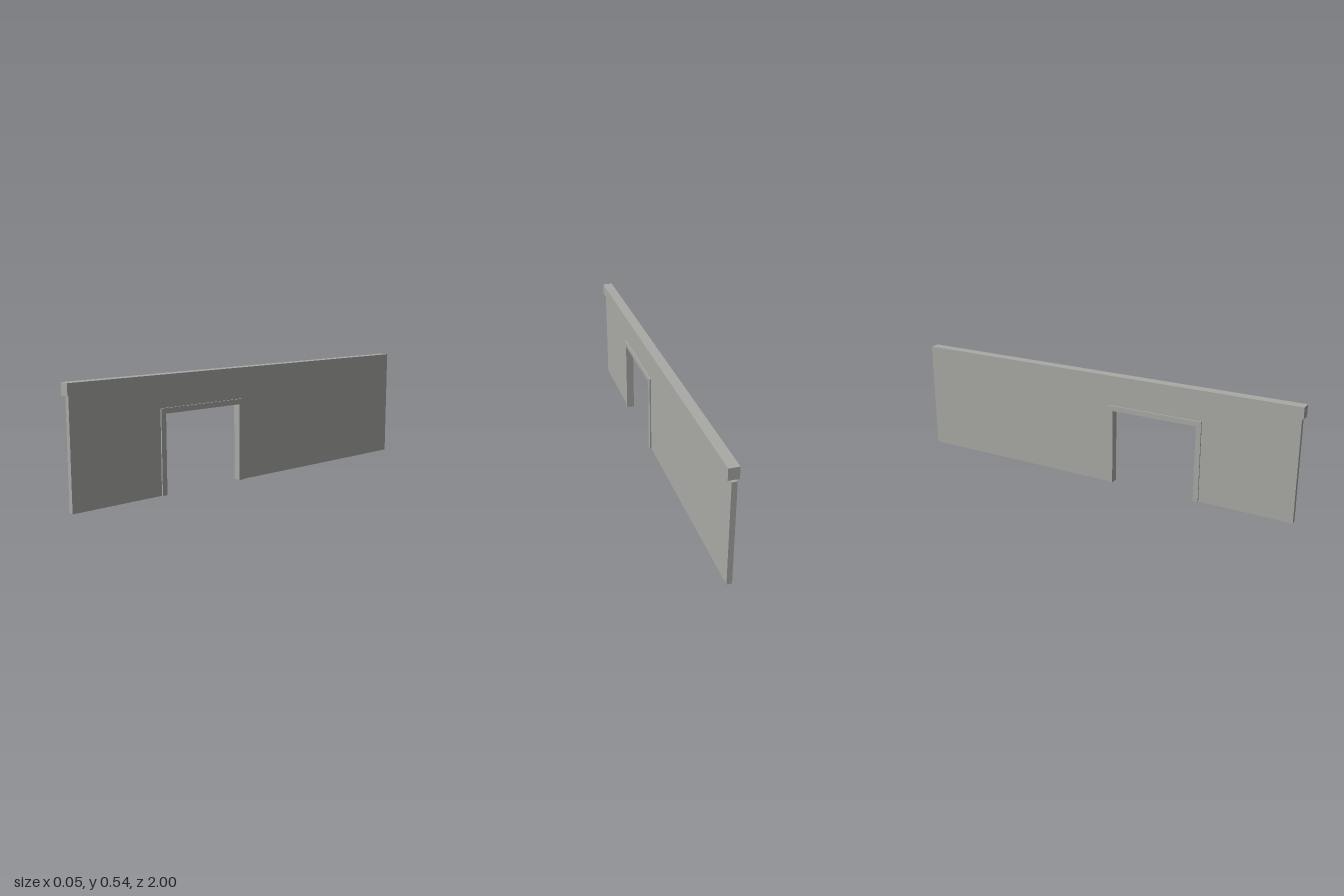
import * as THREE from 'three';

// Extrudes a side profile of [z, y] points from x0 to x1.
function sideExtrude(name, points, x0, x1, material) {
  const shape = new THREE.Shape(points.map(([z, y]) => new THREE.Vector2(-z, y)));
  const geometry = new THREE.ExtrudeGeometry(shape, { depth: x1 - x0, bevelEnabled: false });
  geometry.rotateY(Math.PI / 2);
  geometry.translate(x0, 0, 0);
  const mesh = new THREE.Mesh(geometry, material);
  mesh.name = name;
  return mesh;
}

// Outline of an upright arch: outer rectangle minus a doorway open at the bottom.
function archProfile(zFront, zBack, top, doorFront, doorBack, doorTop) {
  return [
    [zFront, 0], [doorFront, 0], [doorFront, doorTop], [doorBack, doorTop],
    [doorBack, 0], [zBack, 0], [zBack, top], [zFront, top],
  ];
}

export function createModel() {
  const group = new THREE.Group();
  group.name = 'wallWithDoorway';
  const plaster = new THREE.MeshStandardMaterial({ color: 0xa9a9a6 });
  plaster.name = 'warm grey';

  // Thin wall with the doorway cut out
  const wall = archProfile(0.99, -1, 0.487, 0.543, 0.068, 0.392);
  group.add(sideExtrude('wall', wall, -0.011, 0.013, plaster));

  // Door frame standing slightly proud of both wall faces
  const frame = archProfile(0.543, 0.068, 0.392, 0.518, 0.093, 0.367);
  group.add(sideExtrude('doorFrame', frame, -0.018, 0.02, plaster));

  // Coping beam along the top
  const coping = new THREE.Mesh(new THREE.BoxGeometry(0.049, 0.054, 1.987), plaster);
  coping.name = 'coping';
  coping.position.set(-0.0005, 0.514, 0.0065);
  group.add(coping);

  return group;
}
